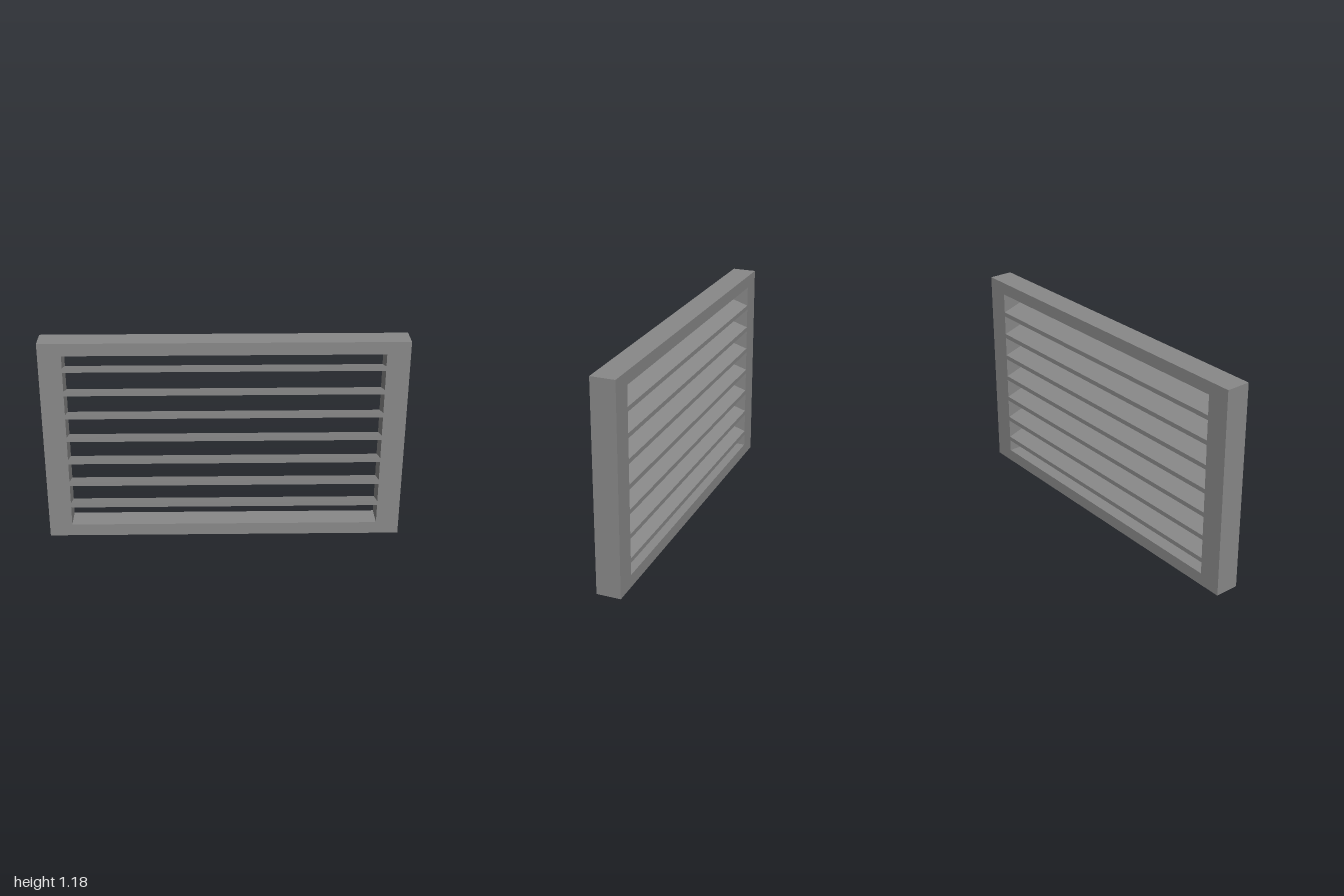
import * as THREE from 'three';

const WIDTH = 2, HEIGHT = 1.183, DEPTH = 0.136;
const OPEN_X = 0.872, OPEN_BOTTOM = 0.071, OPEN_TOP = 1.112;
const SLATS = 7, EDGE = 0.026;

function polygon(PathType, points) {
  return new PathType(points.map(([x, y]) => new THREE.Vector2(x, y)));
}

export function createModel() {
  const group = new THREE.Group();
  group.name = 'louvredVent';
  const material = new THREE.MeshStandardMaterial({ color: 0x888888, flatShading: true });

  // Rectangular frame with one large opening
  const outline = polygon(THREE.Shape, [
    [-WIDTH / 2, 0], [WIDTH / 2, 0], [WIDTH / 2, HEIGHT], [-WIDTH / 2, HEIGHT]]);
  outline.holes.push(polygon(THREE.Path, [
    [-OPEN_X, OPEN_BOTTOM], [-OPEN_X, OPEN_TOP], [OPEN_X, OPEN_TOP], [OPEN_X, OPEN_BOTTOM]]));
  const frameGeometry = new THREE.ExtrudeGeometry(outline, { depth: DEPTH, bevelEnabled: false });
  frameGeometry.translate(0, 0, -DEPTH / 2);
  const frame = new THREE.Mesh(frameGeometry, material);
  frame.name = 'frame';
  group.add(frame);

  // Slat section: upright front and back edges, sloping down to the back
  const step = (OPEN_TOP - OPEN_BOTTOM) / (2 * SLATS + 1);
  const d = DEPTH / 2;
  const section = polygon(THREE.Shape, [
    [-d, step - EDGE], [d, 0], [d, EDGE], [-d, step]]);
  const slatGeometry = new THREE.ExtrudeGeometry(section, { depth: 2 * OPEN_X, bevelEnabled: false });
  slatGeometry.translate(0, 0, -OPEN_X).rotateY(Math.PI / 2);

  // Evenly spaced slats, with gaps as tall as the slats
  for (let i = 0; i < SLATS; i++) {
    const slat = new THREE.Mesh(slatGeometry, material);
    slat.name = `slat${i + 1}`;
    slat.position.y = OPEN_BOTTOM + step * (2 * i + 1);
    group.add(slat);
  }
  return group;
}
